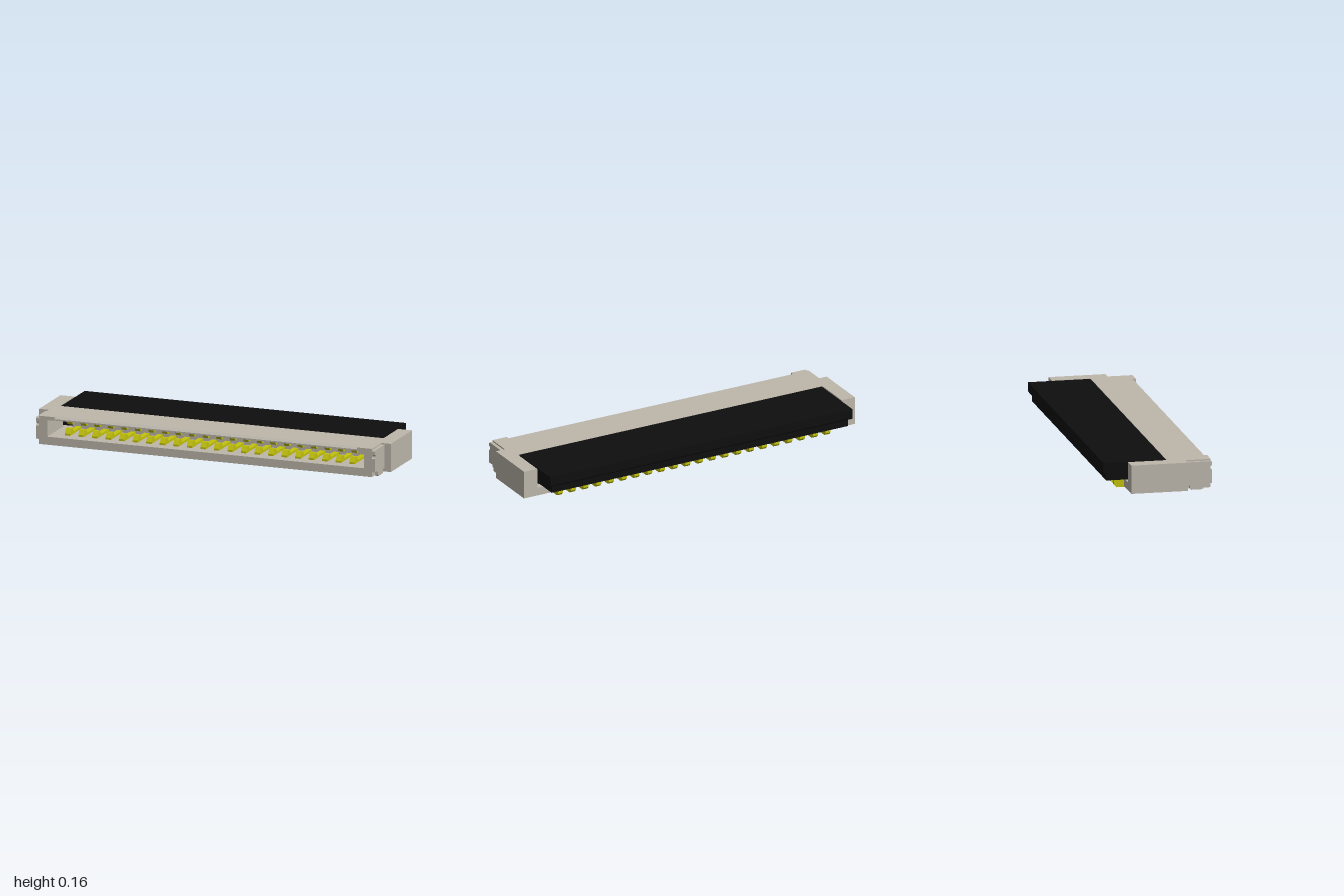
import * as THREE from 'three';

export function createModel() {
  const root = new THREE.Group();
  root.name = 'flatCableConnector';
  const housingMat = new THREE.MeshStandardMaterial({ name: 'warm grey plastic', color: 0xbdb7ab });
  const latchMat = new THREE.MeshStandardMaterial({ name: 'black plastic', color: 0x0e0e0e });
  const contactMat = new THREE.MeshStandardMaterial({ name: 'yellow contact metal', color: 0xc2c20e });

  const add = (parent, geo, mat, name) => {
    const mesh = new THREE.Mesh(geo, mat);
    mesh.name = name;
    parent.add(mesh);
    return mesh;
  };
  // Box given by its limits on each axis
  const box = (parent, name, mat, [x0, x1], [y0, y1], [z0, z1]) => add(parent,
    new THREE.BoxGeometry(x1 - x0, y1 - y0, z1 - z0)
      .translate((x0 + x1) / 2, (y0 + y1) / 2, (z0 + z1) / 2), mat, name);
  // Side profile of [z, y] points swept from x0 to x1
  const profile = (points, x0, x1) => {
    const shape = new THREE.Shape(points.map(([z, y]) => new THREE.Vector2(z, y)));
    return new THREE.ExtrudeGeometry(shape, { depth: x1 - x0, bevelEnabled: false, curveSegments: 8 })
      .rotateY(-Math.PI / 2).translate(x1, 0, 0);
  };

  const BOTTOM = 0.004, TOP = 0.158, FRONT = 0.285, REAR = -0.157;

  // Housing: floor, inner wall, roof with a chamfered lip
  const housing = new THREE.Group();
  housing.name = 'housing';
  root.add(housing);
  box(housing, 'floor', housingMat, [-0.92, 0.92], [BOTTOM, 0.048], [REAR, FRONT]);
  box(housing, 'slotBackWall', housingMat, [-0.845, 0.845], [0.048, 0.138], [0.035, 0.06]);
  add(housing, profile([[0.052, 0.138], [0.279, 0.138], [0.279, 0.146], [0.265, TOP], [0.052, TOP]], -0.86, 0.86),
    housingMat, 'roof');

  for (const s of [-1, 1]) {
    const span = (a, b) => (s > 0 ? [a, b] : [-b, -a]);
    const side = s > 0 ? 'left' : 'right';
    box(housing, side + 'RoofEnd', housingMat, span(0.86, 0.92), [0.138, TOP], [0.052, FRONT]);
    box(housing, side + 'SlotWall', housingMat, span(0.9, 0.92), [0.048, 0.138], [0.052, FRONT]);
    box(housing, side + 'Arm', housingMat, span(0.92, 1), [BOTTOM, TOP], [REAR, 0.15]);
    box(housing, side + 'FrontCheek', housingMat, span(0.92, 0.946), [BOTTOM, TOP], [0.15, FRONT]);

    // Solder tab at the end, with a foot and a rounded front notch
    const tab = new THREE.Shape();
    tab.moveTo(0.15, 0.025);
    for (const [z, y] of [[0.163, 0.025], [0.168, 0.02], [0.168, 0.008], [0.175, 0],
      [0.235, 0], [0.242, 0.006], [0.242, 0.026], [0.236, 0.032], [0.288, 0.032], [0.288, 0.105]]) tab.lineTo(z, y);
    tab.absarc(0.288, 0.116, 0.011, -Math.PI / 2, Math.PI / 2, true);
    tab.lineTo(0.288, 0.145);
    tab.lineTo(0.283, 0.15);
    tab.lineTo(0.15, 0.15);
    const [t0, t1] = span(0.944, 0.964);
    add(root, new THREE.ExtrudeGeometry(tab, { depth: t1 - t0, bevelEnabled: false, curveSegments: 8 })
      .rotateY(-Math.PI / 2).translate(t1, 0, 0), housingMat, side + 'SolderTab');

    // Dark pivot ends visible in the slot corners
    box(root, side + 'LatchPivot', latchMat, span(0.845, 0.9), [0.058, 0.138], [-0.14, 0.06]);
    // Lower end block of the flip latch
    add(root, profile([[-0.27, 0.058], [0.03, 0.058], [0.03, 0.1], [-0.27, 0.1]], ...span(0.83, 0.895)),
      latchMat, side + 'LatchEnd');
  }

  // Flip latch: full-width cover and rear lower rail
  add(root, profile([[-0.278, 0.098], [0.05, 0.098], [0.05, TOP], [-0.288, TOP], [-0.288, 0.108]], -0.914, 0.914),
    latchMat, 'latchCover');
  add(root, profile([[-0.27, 0.058], [-0.215, 0.058], [-0.19, 0.098], [-0.27, 0.098]], -0.895, 0.895),
    latchMat, 'latchRearRail');
  box(root, 'latchCam', latchMat, [-0.845, 0.845], [0.065, 0.1], [-0.1, 0.03]);

  // Row of contacts: solder tail and base, lower spring, upper spring
  const tail = profile([[-0.155, 0], [-0.197, 0], [-0.211, 0.014], [-0.211, 0.047],
    [-0.1, 0.047], [-0.1, 0.055], [0.2, 0.055], [0.2, 0.046], [-0.14, 0.046], [-0.14, 0]], -0.015, 0.015);
  const lower = profile([[0.05, 0.048], [0.225, 0.048], [0.225, 0.058], [0.208, 0.084],
    [0.192, 0.084], [0.17, 0.06], [0.05, 0.06]], -0.015, 0.015);
  const upper = profile([[0.05, 0.115], [0.155, 0.115], [0.17, 0.1], [0.185, 0.1],
    [0.2, 0.118], [0.2, 0.133], [0.05, 0.133]], -0.015, 0.015);
  const count = 22, pitch = 0.077;
  for (let i = 0; i < count; i++) {
    const contact = new THREE.Group();
    contact.name = 'contact' + (i + 1);
    contact.position.x = (i - (count - 1) / 2) * pitch;
    add(contact, tail, contactMat, 'solderTail');
    add(contact, lower, contactMat, 'lowerSpring');
    add(contact, upper, contactMat, 'upperSpring');
    root.add(contact);
  }
  return root;
}
